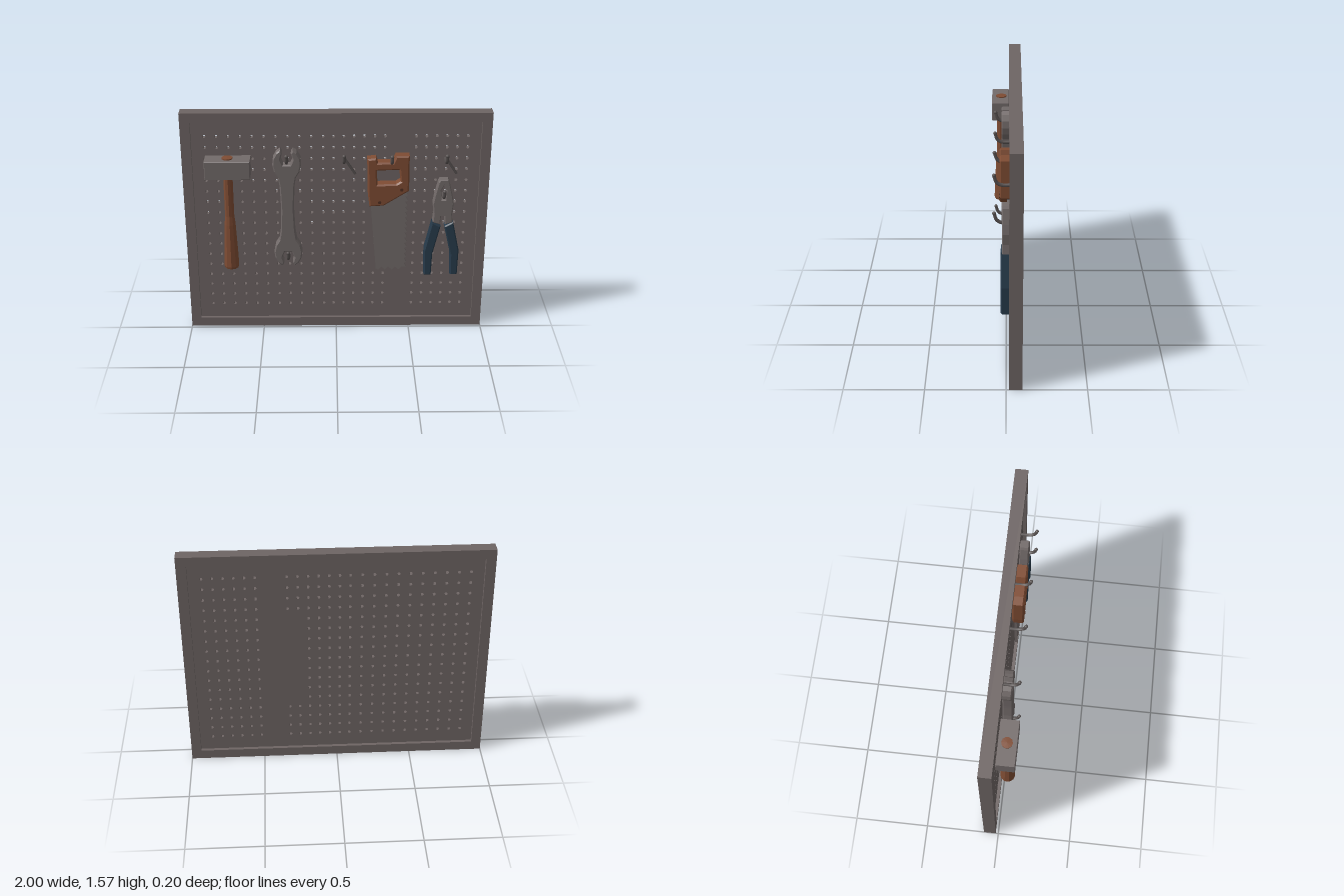
import * as THREE from 'three';

const mat = (name, color) => {
  const m = new THREE.MeshStandardMaterial({ color });
  m.name = name;
  return m;
};

export function createModel() {
  const board = mat('boardGrey', 0x6e6564);
  const steel = mat('toolSteel', 0x736b6a);
  const wood = mat('wood', 0x7f4c33);
  const darkWood = mat('darkWood', 0x4f2f22);
  const rubber = mat('blueGrip', 0x273b4b);
  const hookSteel = mat('hookSteel', 0x595352);

  const root = new THREE.Group();
  root.name = 'toolBoard';
  const group = (name) => {
    const g = new THREE.Group();
    g.name = name;
    root.add(g);
    return g;
  };
  const add = (parent, name, geo, material, x = 0, y = 0, z = 0) => {
    const mesh = new THREE.Mesh(geo, material);
    mesh.name = name;
    mesh.position.set(x, y, z);
    parent.add(mesh);
    return mesh;
  };
  const vecs = (pts) => pts.map(([x, y]) => new THREE.Vector2(x, y));
  // Flat part cut from an outline, between depths z0 and z1
  const plate = (pts, z0, z1, bevel = 0, holes = []) => {
    const shape = new THREE.Shape(vecs(pts));
    holes.forEach((h) => shape.holes.push(new THREE.Path(vecs(h))));
    const geo = new THREE.ExtrudeGeometry(shape, {
      depth: z1 - z0 - 2 * bevel, bevelEnabled: bevel > 0, bevelSegments: 1,
      bevelSize: bevel, bevelThickness: bevel, bevelOffset: -bevel,
    });
    return geo.translate(0, 0, z0 + bevel);
  };
  const rect = (x0, y0, x1, y1) => [[x0, y0], [x1, y0], [x1, y1], [x0, y1]];

  // Frame
  add(root, 'frame', plate(rect(-1, 0, 1, 1.57), -0.1, -0.018, 0, [rect(-0.935, 0.065, 0.935, 1.507)]), board);

  // Perforated panel, left solid behind the saw
  const columns = [];
  for (let i = 0; i <= 10; i++) columns.push(-0.85 + i * 0.0765);
  for (let i = 1; i <= 14; i++) columns.push(-0.085 + i * 0.0668);
  const holes = [];
  for (const x of columns) {
    for (let r = 0; r < 17; r++) {
      const y = 0.17 + r * 0.0772;
      if (x > 0.33 && x < 0.47) continue;
      if (x > 0.2 && x < 0.47 && y > 0.45 && y < 1.1) continue;
      const hole = [];
      for (let k = 0; k < 6; k++) {
        const a = (k / 6) * Math.PI * 2;
        hole.push([x + 0.011 * Math.cos(a), y + 0.011 * Math.sin(a)]);
      }
      holes.push(hole);
    }
  }
  add(root, 'panel', plate(rect(-0.937, 0.063, 0.937, 1.509), -0.078, -0.04, 0, holes), board);

  // Hammer: block head and a lofted handle that swells toward the grip
  const hammer = group('hammer');
  add(hammer, 'hammerHead', plate(rect(-0.845, 1.16, -0.553, 1.285), -0.02, 0.1, 0.004), steel);
  const handleProfile = [[0, 0.5], [0.046, 0.5], [0.05, 0.515], [0.046, 0.62], [0.037, 0.82], [0.031, 0.88], [0.031, 1.16], [0.036, 1.292], [0, 1.294]];
  const handle = new THREE.LatheGeometry(vecs(handleProfile), 10).toNonIndexed();
  handle.computeVertexNormals();
  add(hammer, 'hammerHandle', handle, wood, -0.7, 0, 0.036);

  // Wrench: one quarter outline mirrored into a double open-ended body
  const quarter = [[0.042, 0.02], [0.048, 0.16], [0.058, 0.225], [0.082, 0.265], [0.093, 0.315], [0.088, 0.36],
    [0.066, 0.4], [0.04, 0.418], [0.028, 0.395], [0.04, 0.355], [0.024, 0.315]];
  const right = [...quarter.map(([x, y]) => [x, -y]).reverse(), ...quarter];
  const left = right.map(([x, y]) => [-x, y]).reverse();
  const wrench = group('wrench');
  add(wrench, 'wrenchBody', plate([...right, ...left], -0.035, 0.033, 0.008), steel, -0.32, 0.918, 0);

  // Saw: handle with grip opening, toothed blade
  const saw = group('saw');
  const sawHandle = [[0.2, 1.275], [0.207, 1.02], [0.218, 0.94], [0.31, 0.945], [0.474, 1.05], [0.472, 1.297],
    [0.385, 1.297], [0.365, 1.25], [0.268, 1.25], [0.257, 1.282]];
  const grip = [[0.262, 1.195], [0.408, 1.2], [0.418, 1.118], [0.39, 1.1], [0.268, 1.097]];
  add(saw, 'sawHandle', plate(sawHandle, -0.035, 0.042, 0.01, [grip]), wood);
  const blade = [[0.222, 1], [0.268, 0.455]];
  for (let i = 0; i < 4; i++) {
    blade.push([0.285 + i * 0.046, 0.447], [0.305 + i * 0.046, 0.47]);
  }
  for (let i = 0; i < 15; i++) {
    blade.push([0.472, 0.47 + i * 0.038], [0.456, 0.497 + i * 0.038]);
  }
  blade.push([0.46, 1.06]);
  add(saw, 'sawBlade', plate(blade, -0.022, -0.006), steel);
  for (const [x, y] of [[0.283, 0.972], [0.425, 1.062]]) {
    const rivet = new THREE.CylinderGeometry(0.011, 0.011, 0.008, 8).rotateX(Math.PI / 2);
    add(saw, 'sawRivet', rivet, darkWood, x, y, 0.042);
  }

  // Pliers: tapered steel jaws with a slot, two sleeved legs
  const pliers = group('pliers');
  const halfJaw = [[0.012, 0.86], [0.016, 0.8], [0.066, 0.815], [0.06, 0.88], [0.068, 0.95], [0.058, 1.01], [0.036, 1.105], [0.026, 1.122]];
  const jaws = [...halfJaw, ...halfJaw.map(([x, y]) => [-x, y]).reverse()];
  const slot = [[-0.012, 0.98], [0.012, 0.98], [0.016, 1.05], [0, 1.085], [-0.016, 1.05]];
  add(pliers, 'plierJaws', plate(jaws, -0.035, 0.026, 0.006, [slot]), steel, 0.703);
  const leg = [[0.012, 0.79], [0.06, 0.58], [0.064, 0.425], [0.112, 0.425], [0.116, 0.61], [0.07, 0.82]];
  for (const s of [-1, 1]) {
    const outline = leg.map(([x, y]) => [s * x, y]);
    add(pliers, s < 0 ? 'rightGrip' : 'leftGrip', plate(outline, -0.035, 0.033, 0.008), rubber, 0.703);
  }

  // Hooks: bent pegs, the bare ones with a slanting brace on the panel
  const hooks = group('hooks');
  const peg = new THREE.CatmullRomCurve3([[0, -0.03, -0.045], [0, -0.03, 0.03], [0, -0.012, 0.058], [0, 0.03, 0.072]]
    .map((p) => new THREE.Vector3(...p)));
  const brace = new THREE.LineCurve3(new THREE.Vector3(0, -0.02, -0.03), new THREE.Vector3(0.075, -0.135, -0.032));
  const spots = [[0.05, 1.28, true], [0.71, 1.28, true], [-0.32, 1.28], [-0.32, 0.585], [0.358, 1.275], [0.703, 1.03]];
  for (const [x, y, braced] of spots) {
    add(hooks, 'hookPeg', new THREE.TubeGeometry(peg, 10, 0.011, 6), hookSteel, x, y, 0);
    const tip = new THREE.SphereGeometry(0.012, 8, 6);
    add(hooks, 'hookTip', tip, hookSteel, x, y + 0.03, 0.072);
    if (braced) add(hooks, 'hookBrace', new THREE.TubeGeometry(brace, 1, 0.009, 6), hookSteel, x, y, 0);
  }

  return root;
}
